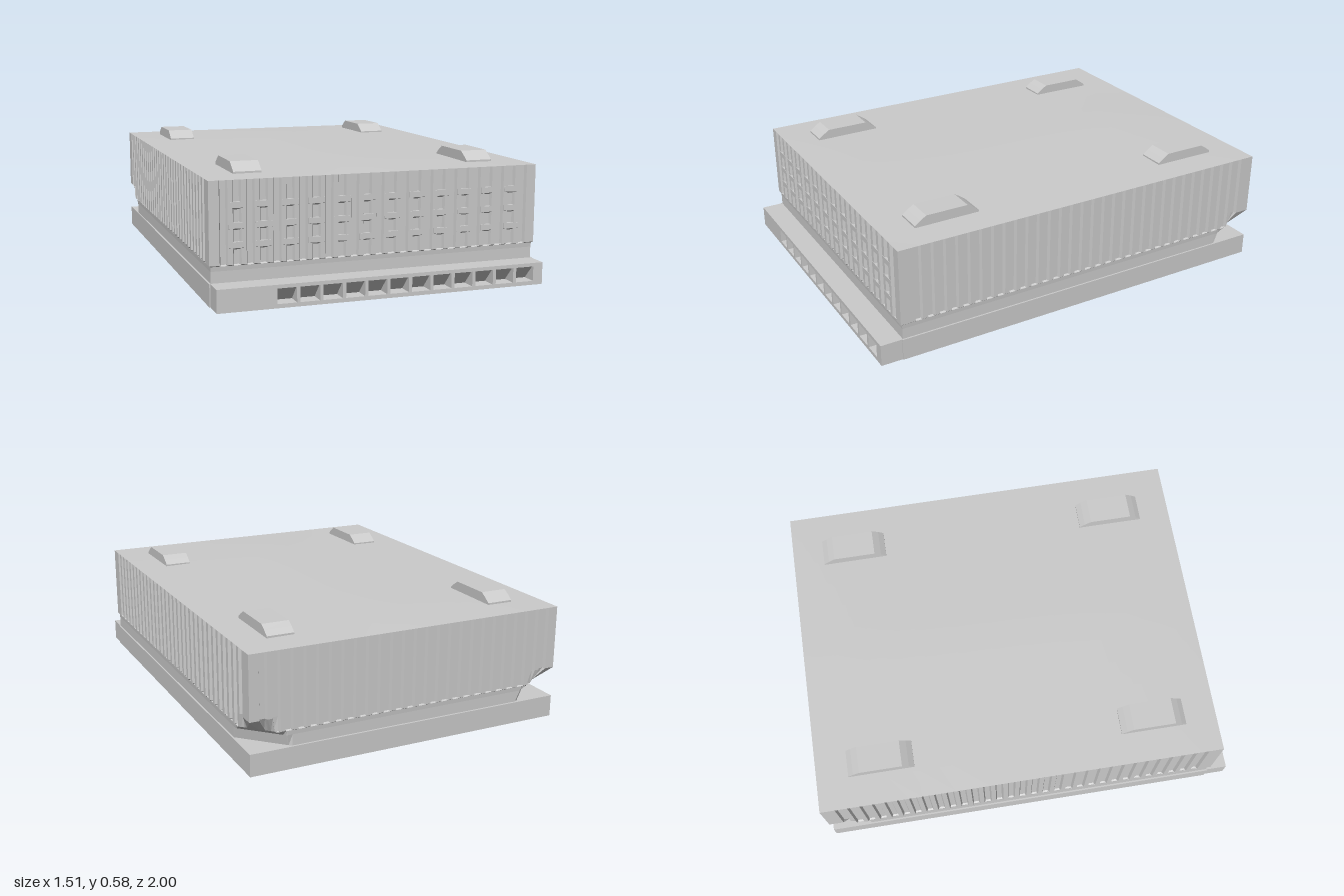
import * as THREE from 'three';

const HX = 0.755, FRONT = 0.905, BACK = -1, PITCH = 0.0577;

const material = new THREE.MeshStandardMaterial({ color: 0xcccccc });
const thinMaterial = new THREE.MeshStandardMaterial({ color: 0xcccccc, side: THREE.DoubleSide });

function add(group, name, geometry, mat = material) {
  const mesh = new THREE.Mesh(geometry, mat);
  mesh.name = name;
  group.add(mesh);
  return mesh;
}

// Extrudes a [z, y] profile across x, centred on x = 0
function sideProfile(points, width) {
  const shape = new THREE.Shape(points.map(([z, y]) => new THREE.Vector2(z, y)));
  const geometry = new THREE.ExtrudeGeometry(shape, { depth: width, bevelEnabled: false });
  return geometry.translate(0, 0, -width / 2).rotateY(-Math.PI / 2);
}

// Offsets along one wall, each marked 1 at the floor of a groove and 0 on a rib
function grooves(half, count) {
  const list = [[-half, 0]];
  for (let k = -count; k <= count; k++) {
    const c = k * PITCH;
    list.push([c - 0.018, 0], [c - 0.012, 1], [c + 0.012, 1], [c + 0.018, 0]);
  }
  list.push([half, 0]);
  return list;
}

// Ribbed wall loop, lofted through levels down to a plain skirt with cut rear corners
function wallGeometry() {
  const midZ = (FRONT + BACK) / 2, halfZ = (FRONT - BACK) / 2;
  const wide = grooves(HX, 12), long = grooves(halfZ, 15);
  const loop = [
    ...wide.map(([s, g]) => [s, FRONT, 0, 1, g]),
    ...long.map(([s, g]) => [HX, midZ - s, 1, 0, g]),
    ...wide.map(([s, g]) => [-s, BACK, 0, -1, g]),
    ...long.map(([s, g]) => [-HX, midZ + s, -1, 0, g]),
  ];
  // [height, groove depth, scale, rear corner cut]
  const levels = [
    [0.1, 0, 0.99, 0.2], [0.15, 0, 0.99, 0.18], [0.17, 0, 0.992, 0.14],
    [0.175, 0.014, 1, 0.13], [0.24, 0.014, 1, 0], [0.53, 0.014, 1, 0],
  ];
  const rings = levels.map(([y, depth, scale, cut]) => loop.map(([px, pz, nx, nz, g]) => {
    let x = (px - nx * g * depth) * scale;
    let z = midZ + (pz - nz * g * depth - midZ) * scale;
    const push = Math.max(0, cut - (HX - Math.abs(x)) - (z - BACK)) / 2;
    x -= Math.sign(x) * push;
    z += push;
    return [x, y, z];
  }));
  const positions = [];
  for (let r = 0; r < rings.length - 1; r++) {
    for (let i = 0; i < loop.length; i++) {
      const j = (i + 1) % loop.length;
      const a = rings[r][i], b = rings[r][j], c = rings[r + 1][j], d = rings[r + 1][i];
      positions.push(...a, ...b, ...c, ...a, ...c, ...d);
    }
  }
  const geometry = new THREE.BufferGeometry();
  geometry.setAttribute('position', new THREE.Float32BufferAttribute(positions, 3));
  geometry.computeVertexNormals();
  return geometry;
}

// Very slightly crowned roof sheet
function roofGeometry() {
  const geometry = new THREE.PlaneGeometry(2 * HX, FRONT - BACK, 12, 12).rotateX(-Math.PI / 2);
  const p = geometry.attributes.position;
  for (let i = 0; i < p.count; i++) {
    const u = p.getX(i) / HX, v = p.getZ(i) / 0.9525;
    p.setY(i, 0.53 + 0.012 * Math.max(0, 1 - Math.abs(u)) * Math.max(0, 1 - v ** 4));
  }
  geometry.translate(0, 0, (FRONT + BACK) / 2);
  geometry.computeVertexNormals();
  return geometry;
}

// Front strip of the base with a row of rectangular openings
function frontStripGeometry() {
  const shape = new THREE.Shape();
  shape.moveTo(-0.75, 0).lineTo(0.75, 0).lineTo(0.75, 0.1).lineTo(-0.75, 0.1).closePath();
  for (let i = 0; i < 12; i++) {
    const x = -0.493 + i * 0.101;
    const hole = new THREE.Path();
    hole.moveTo(x, 0.018).lineTo(x, 0.084).lineTo(x + 0.086, 0.084).lineTo(x + 0.086, 0.018).closePath();
    shape.holes.push(hole);
  }
  return new THREE.ExtrudeGeometry(shape, { depth: 0.1, bevelEnabled: false }).translate(0, 0, 0.9);
}

export function createModel() {
  const model = new THREE.Group();
  model.name = 'ribbedHousing';

  // Base plate
  const base = new THREE.Group();
  base.name = 'base';
  model.add(base);
  add(base, 'basePlate', new THREE.BoxGeometry(2 * HX, 0.1, 1.9)).position.set(0, 0.05, -0.05);
  add(base, 'frontStrip', frontStripGeometry());
  const slope = add(base, 'slopedPocketPanel', new THREE.PlaneGeometry(1.2, 0.094), thinMaterial);
  slope.position.set(0.106, 0.051, 0.96);
  slope.rotation.x = 0.76;

  // Upper housing
  const housing = new THREE.Group();
  housing.name = 'housing';
  model.add(housing);
  add(housing, 'ribbedWalls', wallGeometry());
  add(housing, 'roof', roofGeometry(), thinMaterial);

  // Louvres bridging every other front groove, in three rows
  const louvre = sideProfile([[0.888, 0], [0.907, 0.01], [0.907, 0.035], [0.888, 0.035]], 0.072);
  for (const y of [0.235, 0.317, 0.403]) {
    for (let k = -11; k <= 11; k += 2) {
      add(housing, 'louvre', louvre).position.set(k * PITCH, y, 0);
    }
  }

  // Raised pads on the roof
  const pad = sideProfile([
    [-0.155, 0.525], [0.155, 0.525], [0.155, 0.54], [0.13, 0.559], [0.1, 0.578],
    [-0.1, 0.578], [-0.13, 0.559], [-0.155, 0.54],
  ], 0.125);
  for (const x of [-0.547, 0.547]) {
    for (const z of [0.6, -0.695]) add(model, 'roofPad', pad).position.set(x, 0, z);
  }
  return model;
}
